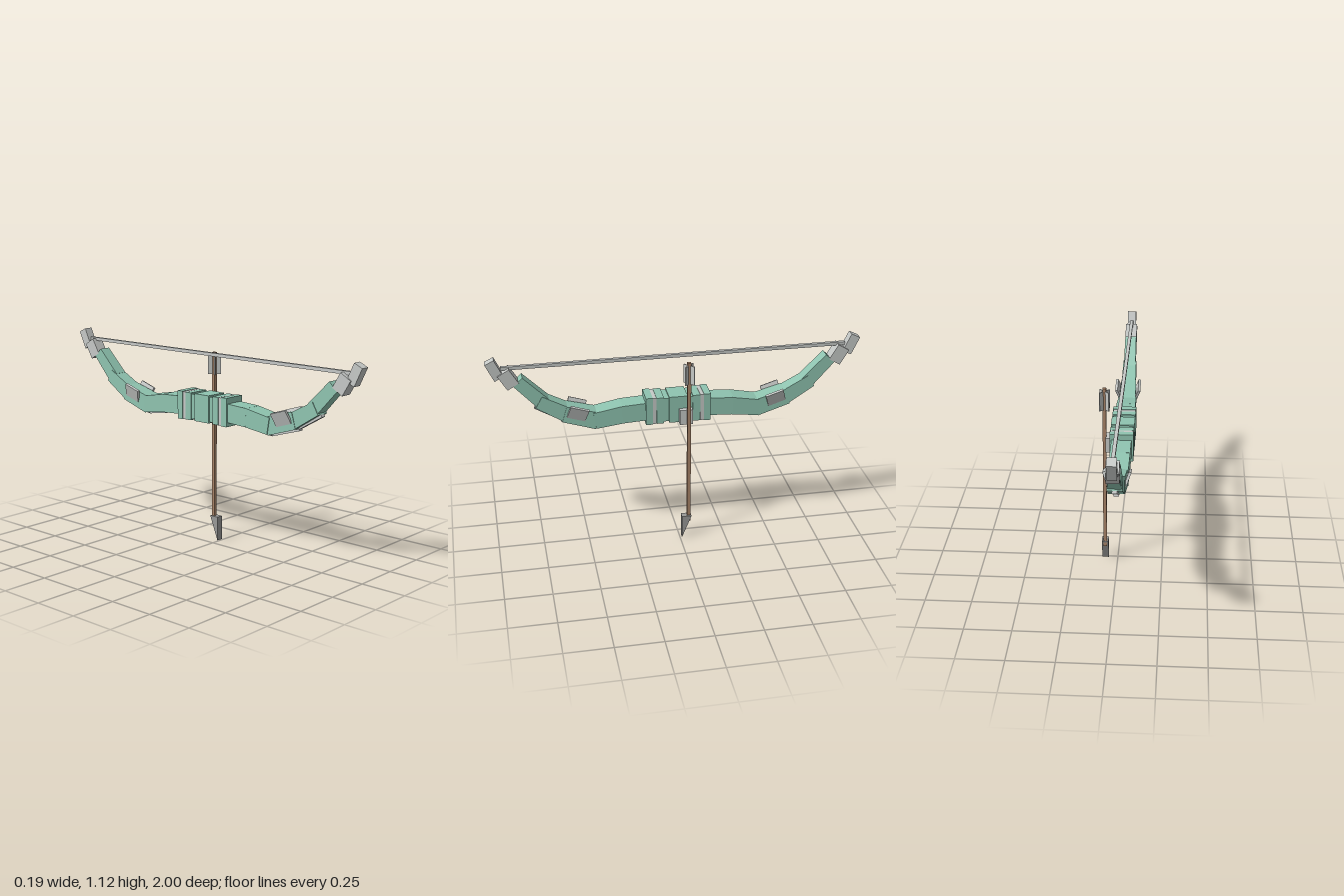
import * as THREE from 'three';

const mat = (name, color, opts = {}) => {
  const m = new THREE.MeshStandardMaterial({ color, ...opts });
  m.name = name;
  return m;
};

export function createModel() {
  const green = mat('green limb', 0x8fc4b0);
  const metal = mat('light metal', 0xc6c9c7);
  const steel = mat('arrowhead steel', 0x9a9a98);
  const wood = mat('shaft wood', 0xa98468);

  const root = new THREE.Group();
  root.name = 'bowAndArrow';
  const bow = new THREE.Group();
  bow.name = 'bow';
  bow.position.x = -0.028;
  const arrow = new THREE.Group();
  arrow.name = 'arrow';
  arrow.position.set(0.068, 0, -0.05);
  root.add(bow, arrow);

  const add = (parent, name, geo, material, x = 0, y = 0, z = 0) => {
    const m = new THREE.Mesh(geo, material);
    m.name = name;
    m.position.set(x, y, z);
    parent.add(m);
    return m;
  };
  const box = (parent, name, w, h, d, material, x, y, z) =>
    add(parent, name, new THREE.BoxGeometry(w, h, d), material, x, y, z);

  // Beam between two [z, y] points, tapering from size [w, h] to [w, h]
  const beam = (name, a, b, sa, sb, material, side) => {
    const dz = (b[0] - a[0]) * side, dy = b[1] - a[1];
    const geo = new THREE.BoxGeometry(1, 1, Math.hypot(dz, dy));
    const p = geo.attributes.position;
    for (let i = 0; i < p.count; i++) {
      const s = p.getZ(i) < 0 ? sa : sb;
      p.setXY(i, p.getX(i) * s[0], p.getY(i) * s[1]);
    }
    geo.computeVertexNormals();
    const m = add(bow, name, geo, material, 0, (a[1] + b[1]) / 2, side * (a[0] + b[0]) / 2);
    m.rotation.x = -Math.atan2(dy, dz);
  };

  // Grip with raised rings
  box(bow, 'gripCore', 0.112, 0.135, 0.33, green, 0, 0.773, 0);
  box(bow, 'gripCentreRing', 0.125, 0.15, 0.1, green, 0, 0.773, 0);
  for (const s of [1, -1]) {
    box(bow, 'gripEndRing', 0.125, 0.155, 0.037, green, 0, 0.773, s * 0.157);
    box(bow, 'gripMetalBand', 0.121, 0.15, 0.02, metal, 0, 0.773, s * 0.129);
    box(bow, 'gripInnerRing', 0.125, 0.15, 0.04, green, 0, 0.773, s * 0.098);
  }
  box(bow, 'arrowRest', 0.034, 0.085, 0.07, metal, 0.072, 0.735, -0.038);

  // Limbs: start, end, start size, end size, material, underside strip
  const segments = [
    ['innerLimb', [0.15, 0.77], [0.3, 0.762], [0.105, 0.1], [0.105, 0.1], green, false],
    ['lowerLimb', [0.29, 0.763], [0.447, 0.738], [0.105, 0.1], [0.1, 0.092], green, true],
    ['bendLimb', [0.43, 0.735], [0.605, 0.787], [0.092, 0.096], [0.085, 0.09], green, true],
    ['middleLimb', [0.59, 0.782], [0.735, 0.866], [0.08, 0.085], [0.075, 0.072], green, true],
    ['outerLimb', [0.71, 0.855], [0.837, 0.988], [0.068, 0.075], [0.064, 0.066], green, false],
    ['stringHolder', [0.861, 0.965], [0.909, 1.045], [0.065, 0.07], [0.065, 0.07], metal, false],
    ['limbTip', [0.93, 1.01], [0.975, 1.105], [0.048, 0.053], [0.048, 0.053], metal, false],
  ];
  for (const side of [1, -1]) {
    for (const [name, a, b, sa, sb, material, strip] of segments) {
      beam(name, a, b, sa, sb, material, side);
      if (!strip) continue;
      const len = Math.hypot(b[0] - a[0], b[1] - a[1]);
      const off = (sa[1] + sb[1]) / 4 + 0.002;
      const nz = (b[1] - a[1]) / len * off, ny = -(b[0] - a[0]) / len * off;
      beam('undersideStrip', [a[0] + nz, a[1] + ny], [b[0] + nz, b[1] + ny],
        [0.026, 0.018], [0.026, 0.018], metal, side);
    }
    // Flared plates on both flanks of each limb
    for (const e of [1, -1]) {
      const mount = new THREE.Group();
      mount.name = 'flarePlate';
      mount.position.set(e * 0.053, 0.792, side * 0.535);
      mount.rotation.x = -side * 0.31;
      bow.add(mount);
      box(mount, 'plate', 0.014, 0.075, 0.1, metal, 0, 0, 0).rotation.z = -e * 0.33;
    }
  }

  // Bowstring
  box(bow, 'bowstring', 0.018, 0.018, 1.84, metal, 0, 1.06, 0);

  // Arrow shaft and crossed vanes
  box(arrow, 'shaft', 0.019, 0.955, 0.019, wood, 0, 0.5775, 0);
  for (const e of [1, -1])
    box(arrow, 'vane', 0.07, 0.105, 0.006, metal, 0, 0.987, 0).rotation.y = e * Math.PI / 4;

  // Wedge head: upright front face, slanted back
  const profile = new THREE.Shape([[-0.04, 0], [0.014, 0.135], [-0.04, 0.135]]
    .map(([x, y]) => new THREE.Vector2(x, y)));
  const head = new THREE.ExtrudeGeometry(profile, { depth: 0.037, bevelEnabled: false });
  head.translate(0, 0, -0.0185);
  add(arrow, 'arrowhead', head, steel).rotation.y = Math.PI / 2;

  return root;
}
